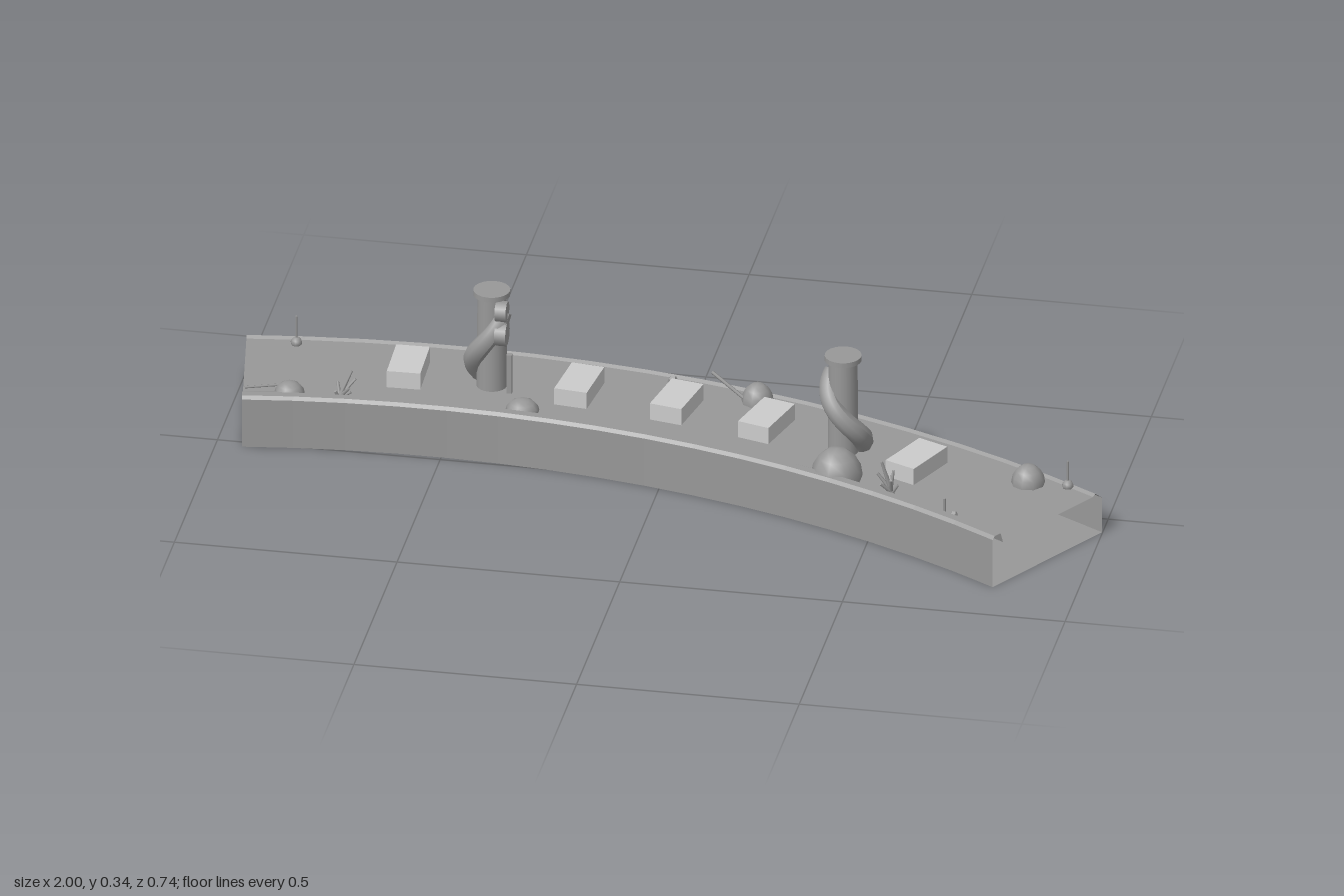
import * as THREE from 'three';

const CX = -0.53, CZ = 2.552;          // centre of the arc
const R_FRONT = 2.563, R_BACK = 2.92;
const A0 = -0.161, A1 = 0.551;
const DECK = 0.1;

const GREY = 0x989898;
const mat = new THREE.MeshStandardMaterial({ color: GREY });
const flat = new THREE.MeshStandardMaterial({ color: GREY, flatShading: true });
const shellMat = new THREE.MeshStandardMaterial({ color: GREY, flatShading: true, side: THREE.DoubleSide });
const blockMat = new THREE.MeshStandardMaterial({ color: 0xcccccc, flatShading: true });

const onArc = (r, a, y) => new THREE.Vector3(CX + r * Math.sin(a), y, CZ - r * Math.cos(a));

function add(parent, name, geometry, x, y, z, material = mat) {
  const mesh = new THREE.Mesh(geometry, material);
  mesh.name = name;
  mesh.position.set(x, y, z);
  parent.add(mesh);
  return mesh;
}

// Hollow open-ended body: a closed cross-section swept along the arc
function sweptShell(profile, segments) {
  const pos = [], idx = [], n = profile.length;
  for (let i = 0; i <= segments; i++) {
    const a = A0 + (A1 - A0) * i / segments;
    profile.forEach(([r, y]) => pos.push(...onArc(r, a, y).toArray()));
  }
  for (let i = 0; i < segments; i++) {
    for (let j = 0; j < n; j++) {
      const a = i * n + j, b = i * n + (j + 1) % n;
      idx.push(a, a + n, b, b, a + n, b + n);
    }
  }
  const g = new THREE.BufferGeometry();
  g.setAttribute('position', new THREE.Float32BufferAttribute(pos, 3));
  g.setIndex(idx);
  g.computeVertexNormals();
  return g;
}

// Tube whose radius shrinks from r0 to r1 along its path
function taperedTube(points, r0, r1, segments = 32, sides = 10) {
  const curve = new THREE.CatmullRomCurve3(points);
  const g = new THREE.TubeGeometry(curve, segments, 1, sides);
  const p = g.attributes.position, v = new THREE.Vector3();
  for (let i = 0; i < p.count; i++) {
    const t = Math.floor(i / (sides + 1)) / segments;
    const c = curve.getPointAt(t);
    v.fromBufferAttribute(p, i).sub(c).multiplyScalar(r0 + (r1 - r0) * t).add(c);
    p.setXYZ(i, v.x, v.y, v.z);
  }
  g.computeVertexNormals();
  return g;
}

// Thin rod between two points
function rod(parent, name, from, to, r0, r1 = r0) {
  const a = new THREE.Vector3(...from), b = new THREE.Vector3(...to);
  const d = b.clone().sub(a);
  const mid = a.add(b).multiplyScalar(0.5);
  const mesh = add(parent, name, new THREE.CylinderGeometry(r1, r0, d.length(), 6), mid.x, mid.y, mid.z);
  mesh.quaternion.setFromUnitVectors(new THREE.Vector3(0, 1, 0), d.normalize());
}

// Column with a cap and a tentacle winding up around it
function column(x, z, startAngle, sweep) {
  const group = new THREE.Group();
  group.name = 'column';
  group.position.set(x, 0, z);
  add(group, 'shaft', new THREE.CylinderGeometry(0.032, 0.034, 0.23, 20), 0, 0.212, 0);
  add(group, 'cap', new THREE.CylinderGeometry(0.041, 0.041, 0.012, 20), 0, 0.331, 0);
  const path = [];
  for (let i = 0; i <= 10; i++) {
    const t = i / 10, a = startAngle + t * sweep, r = 0.042 - 0.01 * t;
    path.push(new THREE.Vector3(r * Math.cos(a), 0.1 + 0.19 * t, r * Math.sin(a)));
  }
  add(group, 'tentacle', taperedTube(path, 0.028, 0.018), 0, 0, 0);
  return group;
}

// Branching coral with its stems leaning toward (leanX, leanZ)
function coral(x, z, h, leanX, leanZ) {
  const group = new THREE.Group();
  group.name = 'coral';
  group.position.set(x, DECK, z);
  rod(group, 'trunk', [0, 0, 0], [leanX, h, leanZ], 0.006, 0.003);
  for (let i = 0; i < 6; i++) {
    const a = i * 2.4, s = h * (0.35 + 0.07 * i), k = s / h;
    rod(group, 'branch', [leanX * k * 0.3, s * 0.3, leanZ * k * 0.3],
      [leanX * k + 0.02 * Math.cos(a), s, leanZ * k + 0.02 * Math.sin(a)], 0.005, 0.003);
  }
  return group;
}

export function createModel() {
  const model = new THREE.Group();

  // Curved body with a raised front rim and a bevelled back edge
  const profile = [
    [R_FRONT, 0.001], [R_FRONT, 0.118], [R_FRONT + 0.007, 0.125], [R_FRONT + 0.026, 0.125],
    [R_FRONT + 0.034, DECK], [R_BACK - 0.03, DECK], [R_BACK - 0.022, 0.105],
    [R_BACK, 0.087], [R_BACK, 0.001],
  ];
  add(model, 'curvedBody', sweptShell(profile, 16), 0, 0, 0, shellMat);

  // Raised pale blocks along the middle of the deck
  for (const a of [-0.029, 0.112, 0.195, 0.274, 0.414]) {
    const p = onArc(2.75, a, 0.119);
    add(model, 'deckBlock', new THREE.BoxGeometry(0.075, 0.042, 0.13), p.x, p.y, p.z, blockMat).rotation.y = -a;
  }

  // Columns, wound in opposite directions
  model.add(column(0.4, -0.025, -0.9, 4.6), column(-0.42, -0.186, -1.9, -4));
  for (const [y, r] of [[0.3, 0.024], [0.245, 0.028]])
    add(model, 'stud', new THREE.CylinderGeometry(r, r, 0.025, 10), -0.392, y, -0.157).rotation.z = Math.PI / 2;
  add(model, 'post', new THREE.BoxGeometry(0.012, 0.095, 0.012), -0.375, 0.147, -0.158, flat);

  // Rounded mounds: x, z, radius, height
  const mounds = [
    [0.41, 0.1, 0.058, 0.07], [-0.33, -0.075, 0.038, 0.03], [0.17, -0.22, 0.036, 0.045],
    [0.83, 0.05, 0.038, 0.045], [-0.85, -0.06, 0.034, 0.03], [0.37, -0.175, 0.024, 0.025],
  ];
  for (const [x, z, r, h] of mounds) {
    const dome = new THREE.SphereGeometry(1, 9, 4, 0, Math.PI * 2, 0, Math.PI / 2);
    add(model, 'mound', dome, x, DECK, z).scale.set(r, h, r);
  }

  // Stakes with a round foot: x, z, top, stake radius, foot radius
  const stakes = [
    [0.92, 0.055, 0.165, 0.0025, 0.013], [-0.88, -0.295, 0.17, 0.0025, 0.013],
    [0.68, 0.245, 0.145, 0.003, 0.008], [0.39, -0.17, 0.165, 0.003, 0.012], [-0.43, -0.31, 0.125, 0.003, 0.014],
  ];
  for (const [x, z, top, r, foot] of stakes) {
    rod(model, 'stake', [x, DECK, z], [x, top, z], r);
    add(model, 'stakeFoot', new THREE.SphereGeometry(foot, 8, 6), x, DECK + foot * 0.4, z);
  }

  // Corals and small pebbles
  model.add(coral(0.55, 0.17, 0.085, -0.025, 0.004), coral(-0.74, -0.04, 0.07, 0.03, -0.02));
  for (const [x, z, r] of [[0.7, 0.24, 0.009], [0.66, 0.235, 0.007], [-0.03, -0.27, 0.012], [-0.16, -0.015, 0.009], [-0.24, -0.165, 0.006]])
    add(model, 'pebble', new THREE.DodecahedronGeometry(r), x, DECK + r * 0.5, z, flat);

  // Fallen rods
  rod(model, 'fallenRod', [0.055, 0.122, -0.295], [0.165, 0.105, -0.19], 0.004);
  rod(model, 'fallenRod', [0.19, 0.115, 0.055], [0.37, 0.105, 0.095], 0.004);
  rod(model, 'fallenRod', [-0.95, 0.106, -0.06], [-0.84, 0.106, -0.1], 0.003);
  rod(model, 'fallenRod', [-0.95, 0.106, -0.035], [-0.84, 0.106, -0.055], 0.003);

  return model;
}
